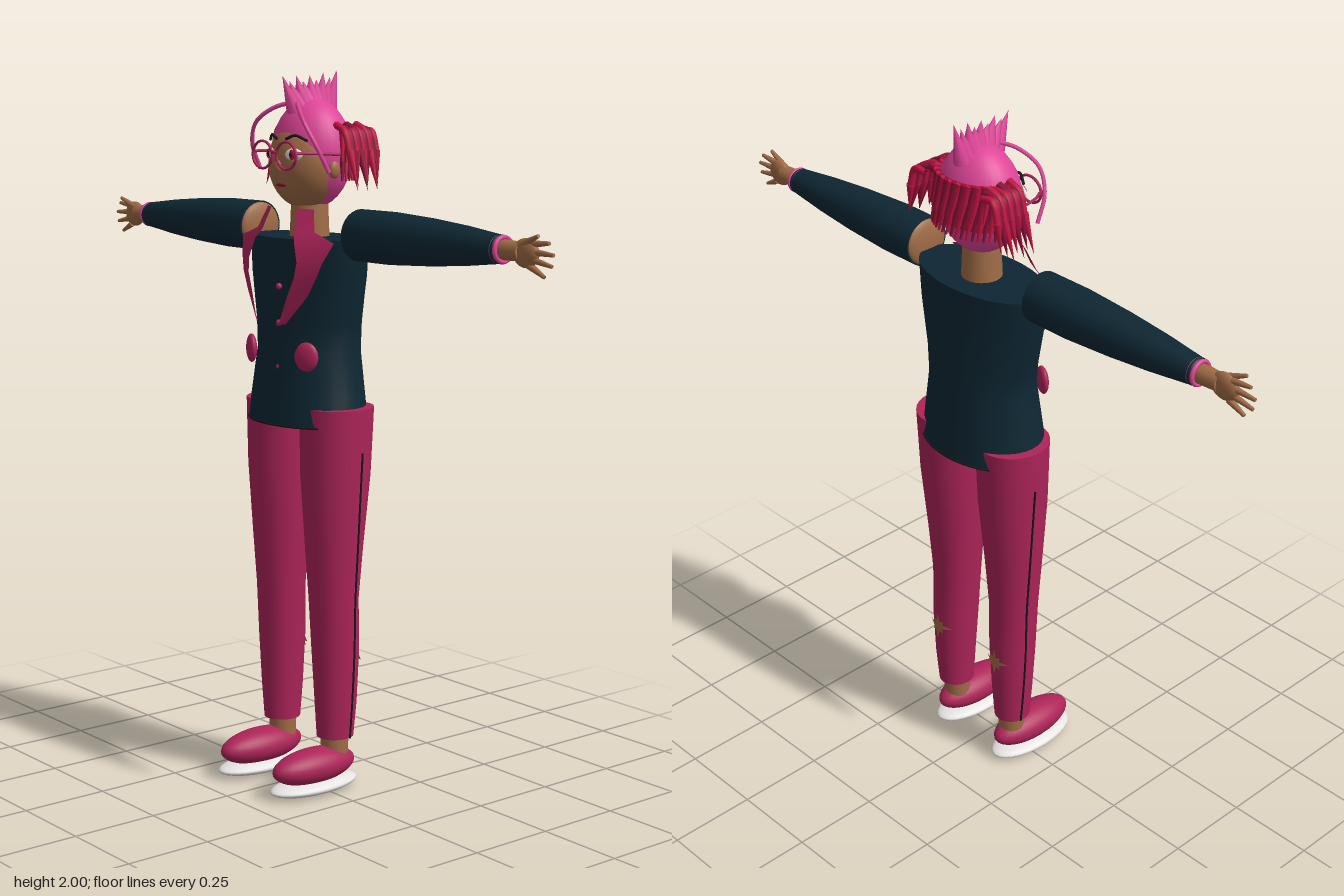
import * as THREE from 'three';

const mat = (name, color, side = THREE.FrontSide) => {
  const m = new THREE.MeshStandardMaterial({ color, side });
  m.name = name;
  return m;
};
const V = (x, y, z) => new THREE.Vector3(x, y, z);

// Smooth closed tube through horizontal ellipses [y, x, z, rx, rz], listed from low to high
function loft(rings, n = 28) {
  const pos = [], idx = [];
  const ring = ([y, x, z, rx, rz]) => {
    for (let i = 0; i < n; i++) {
      const a = (i / n) * Math.PI * 2;
      pos.push(x + rx * Math.cos(a), y, z + rz * Math.sin(a));
    }
  };
  rings.forEach(ring);
  for (let r = 0; r < rings.length - 1; r++) {
    for (let i = 0; i < n; i++) {
      const a = r * n + i, b = r * n + (i + 1) % n;
      idx.push(a, a + n, b, b, a + n, b + n);
    }
  }
  // flat end caps
  [rings[0], rings[rings.length - 1]].forEach((r, top) => {
    const s = pos.length / 3;
    ring(r);
    pos.push(r[1], r[0], r[2]);
    for (let i = 0; i < n; i++) {
      const a = s + i, b = s + (i + 1) % n;
      if (top) idx.push(s + n, b, a); else idx.push(s + n, a, b);
    }
  });
  const g = new THREE.BufferGeometry();
  g.setAttribute('position', new THREE.Float32BufferAttribute(pos, 3));
  g.setIndex(idx);
  g.computeVertexNormals();
  return g;
}

export function createModel() {
  const root = new THREE.Group();
  const pink = mat('hair pink', 0xdf4598);
  const magenta = mat('trouser magenta', 0xad2459, THREE.DoubleSide);
  const navy = mat('jacket navy', 0x0e2733);
  const skin = mat('skin', 0xa06c46, THREE.DoubleSide);
  const crimson = mat('crimson', 0xc41442);
  const darkRed = mat('dark red', 0x8a1038);
  const white = mat('white', 0xe6e4e2);
  const black = mat('dark lines', 0x1b161a, THREE.DoubleSide);

  const add = (name, geo, m, x = 0, y = 0, z = 0) => {
    const mesh = new THREE.Mesh(geo, m);
    mesh.name = name;
    mesh.position.set(x, y, z);
    root.add(mesh);
    return mesh;
  };
  const ball = (name, m, x, y, z, rx, ry, rz) => {
    const b = add(name, new THREE.SphereGeometry(1, 28, 18), m, x, y, z);
    b.scale.set(rx, ry, rz);
    return b;
  };
  const tube = (name, m, pts, r) =>
    add(name, new THREE.TubeGeometry(new THREE.CatmullRomCurve3(pts), 20, r, 6), m);
  // tapered spike from a to b
  const spike = (name, m, a, b, r, r2 = 0) => {
    const d = b.clone().sub(a), mid = a.clone().add(b).multiplyScalar(0.5);
    const s = add(name, new THREE.CylinderGeometry(r2, r, d.length(), 8), m, mid.x, mid.y, mid.z);
    s.quaternion.setFromUnitVectors(V(0, 1, 0), d.normalize());
    return s;
  };

  // Jacket body
  const torso = [[1.04, 0, -0.04, 0.2, 0.14], [1.1, 0, -0.04, 0.19, 0.136], [1.24, 0, -0.043, 0.165, 0.127],
    [1.32, 0, -0.043, 0.175, 0.122], [1.45, 0, -0.043, 0.205, 0.118], [1.55, 0, -0.043, 0.215, 0.116]];
  add('jacketBody', loft(torso, 36), navy);
  const hem = add('jacketHem', new THREE.TorusGeometry(1, 0.02, 6, 40), black, 0, 1.04, -0.04);
  hem.rotation.x = Math.PI / 2;
  hem.scale.set(0.2, 0.14, 0.16);

  // Lapels: chevron bands [y, inner x, outer x, z]
  const lapelRows = [[1.63, 0.055, 0.1, 0.035], [1.57, 0.07, 0.125, 0.055], [1.545, 0.085, 0.2, 0.068],
    [1.49, 0.105, 0.175, 0.075], [1.45, 0.1, 0.16, 0.08], [1.4, 0.078, 0.132, 0.085], [1.32, 0.048, 0.062, 0.092]];
  // Trouser leg rings and shared positions
  const legRings = [[0.15, 0.12, -0.042, 0.05, 0.053], [0.25, 0.121, -0.043, 0.058, 0.06], [0.4, 0.12, -0.042, 0.068, 0.066],
    [0.55, 0.118, -0.037, 0.073, 0.068], [0.7, 0.118, -0.038, 0.083, 0.08], [0.9, 0.118, -0.042, 0.096, 0.098], [1.09, 0.119, -0.045, 0.1, 0.105]];

  for (const s of [1, -1]) {
    const lp = [], li = [];
    lapelRows.forEach(([y, a, b, z], r) => {
      lp.push(s * a, y, z + 0.01, s * b, y, z - (b - a) * 0.3);
      if (r) {
        const k = r * 2;
        if (s > 0) li.push(k - 2, k, k - 1, k - 1, k, k + 1);
        else li.push(k - 2, k - 1, k, k - 1, k + 1, k);
      }
    });
    const lg = new THREE.BufferGeometry();
    lg.setAttribute('position', new THREE.Float32BufferAttribute(lp, 3));
    lg.setIndex(li);
    lg.computeVertexNormals();
    add('lapel', lg, magenta);
    ball('pocket', magenta, s * 0.122, 1.235, 0.064, 0.035, 0.04, 0.014).rotation.y = s * 0.45;

    // Leg, side seam and torn calf patch
    add('trouserLeg', loft(legRings.map(([y, x, z, rx, rz]) => [y, s * x, z, rx, rz])), magenta);
    tube('sideSeam', black, legRings.map(([y, x, z, rx]) => V(s * (x + rx), Math.min(y, 0.97), -0.055)), 0.003);
    const star = new THREE.Shape();
    for (let i = 0; i < 16; i++) {
      const a = (i / 16) * Math.PI * 2, r = i % 4 === 0 ? 0.045 : i % 2 ? 0.018 : 0.028;
      star[i ? 'lineTo' : 'moveTo'](Math.cos(a) * r, Math.sin(a) * r);
    }
    const patch = new THREE.ShapeGeometry(star);
    patch.rotateY(Math.PI);
    const pp = patch.attributes.position;
    for (let i = 0; i < pp.count; i++) pp.setZ(i, 0.066 - 0.066 * Math.sqrt(1 - (pp.getX(i) / 0.068) ** 2));
    patch.computeVertexNormals();
    add('calfPatch', patch, skin, s * 0.12, 0.37, -0.115);

    // Ankle and shoe
    add('ankle', new THREE.CylinderGeometry(0.04, 0.038, 0.1, 20), skin, s * 0.118, 0.13, -0.042);
    ball('shoe', magenta, s * 0.12, 0.077, 0.035, 0.059, 0.05, 0.14);
    ball('shoeSole', white, s * 0.12, 0.022, 0.035, 0.067, 0.022, 0.147);

    // Sleeve, built upright then laid along x
    const sleeve = add('sleeve', loft([[0.22, 0.07], [0.35, 0.07], [0.5, 0.062], [0.63, 0.051], [0.75, 0.037]]
      .map(([y, r]) => [y, 0, 0, r, r])), navy, 0, 1.565, -0.043);
    sleeve.rotation.z = -s * Math.PI / 2;
    ball('shoulder', skin, s * 0.222, 1.565, -0.043, 0.018, 0.066, 0.066);

    // Bracelets
    [magenta, navy, pink].forEach((m, i) => {
      const c = add('bracelet', new THREE.TorusGeometry(0.031, 0.006, 8, 24), m, s * (0.746 + i * 0.01), 1.565, -0.043);
      c.rotation.y = Math.PI / 2;
    });

    // Hand with thumb upward
    spike('wrist', skin, V(s * 0.74, 1.565, -0.043), V(s * 0.83, 1.565, -0.043), 0.028, 0.024);
    ball('palm', skin, s * 0.845, 1.562, -0.043, 0.043, 0.037, 0.018);
    for (let i = 0; i < 4; i++) {
      const y = 1.585 - i * 0.018, x = [0.925, 0.94, 0.935, 0.91][i];
      spike('finger', skin, V(s * 0.86, y, -0.043), V(s * x, y + 0.006 - i * 0.01, -0.043), 0.01, 0.005);
    }
    spike('thumb', skin, V(s * 0.83, 1.58, -0.038), V(s * 0.9, 1.608, -0.03), 0.011, 0.005);

    // Eye, brow, glasses and ear
    ball('eye', white, s * 0.05, 1.775, 0.05, 0.027, 0.017, 0.008).rotation.y = s * 0.35;
    ball('iris', crimson, s * 0.049, 1.775, 0.056, 0.013, 0.014, 0.005);
    ball('pupil', black, s * 0.049, 1.775, 0.06, 0.006, 0.007, 0.003);
    tube('eyebrow', black, [V(s * 0.02, 1.816, 0.054), V(s * 0.05, 1.826, 0.045), V(s * 0.08, 1.812, 0.028)], 0.004);
    const rim = add('glassesRim', new THREE.TorusGeometry(0.042, 0.004, 8, 32), magenta, s * 0.052, 1.773, 0.078);
    rim.scale.y = 0.88;
    tube('glassesArm', magenta, [V(s * 0.094, 1.78, 0.078), V(s * 0.118, 1.78, 0.03), V(s * 0.124, 1.775, -0.05)], 0.004);
    ball('ear', skin, s * 0.118, 1.735, -0.035, 0.012, 0.024, 0.018);

    // Loose fringe strand
    tube('fringeStrand', pink, [V(0, 1.915, 0), V(s * 0.05, 1.9, 0.035), V(s * 0.105, 1.86, 0.058),
      V(s * 0.14, 1.8, 0.045), V(s * 0.15, 1.73, 0.01)], 0.006);

    // Flared side tufts
    for (let i = 0; i < 9; i++) {
      const z = -0.05 - i * 0.0115, k = i % 3;
      tube('tuftStrand', i % 2 ? darkRed : crimson, [V(s * 0.105, 1.855 - k * 0.01, z), V(s * 0.145, 1.835, z),
        V(s * 0.165, 1.775, z - 0.002)], 0.01);
      spike('tuftTip', i % 2 ? darkRed : crimson, V(s * 0.163, 1.785, z - 0.002),
        V(s * (0.2 - k * 0.013), 1.68 + k * 0.012, z), 0.012);
    }
  }

  // Buttons, neck, face and hair cap
  [1.42, 1.32, 1.2].forEach((y) => ball('button', magenta, 0.022, y, 0.08, 0.009, 0.009, 0.008));
  add('neck', new THREE.CylinderGeometry(0.05, 0.056, 0.14, 24), skin, 0, 1.6, -0.045);
  ball('face', skin, 0, 1.75, -0.03, 0.112, 0.125, 0.095);
  ball('nose', skin, 0, 1.742, 0.064, 0.012, 0.018, 0.012);
  ball('mouth', darkRed, 0, 1.692, 0.054, 0.022, 0.005, 0.005);
  tube('glassesBridge', magenta, [V(-0.012, 1.777, 0.078), V(0, 1.782, 0.08), V(0.012, 1.777, 0.078)], 0.004);
  ball('hairCap', pink, 0, 1.775, -0.053, 0.124, 0.15, 0.102);

  // Band of strands around the back of the head
  const band = add('backHairBand', new THREE.SphereGeometry(1, 28, 8, Math.PI, Math.PI, 1.05, 0.85), crimson, 0, 1.775, -0.053);
  band.scale.set(0.129, 0.155, 0.107);
  for (let row = 0; row < 2; row++) {
    for (let i = 0; i < 25; i++) {
      const t = (i / 24 - 0.5) * 2.9, u = t + 0.16, y = 1.85 - row * 0.05;
      spike('backStrand', (i + row) % 2 ? darkRed : crimson, V(Math.sin(t) * 0.118, y, -0.053 - Math.cos(t) * 0.096),
        V(Math.sin(u) * 0.136, y - 0.095, -0.053 - Math.cos(u) * 0.113), 0.011, 0.003);
    }
  }

  // Crest of spikes fanning from front to back
  for (let i = 0; i < 9; i++) {
    const k = i / 8 - 0.5;
    const base = V(0, 1.775 + 0.142 * Math.sqrt(1 - (k * 1.15) ** 2), -0.053 - k * 0.118);
    spike('crestSpike', pink, base, V(0, 1.985 + (i % 2 ? -0.015 : 0) + Math.max(0, k) * 0.03, -0.045 - k * 0.19), 0.024);
  }
  return root;
}
